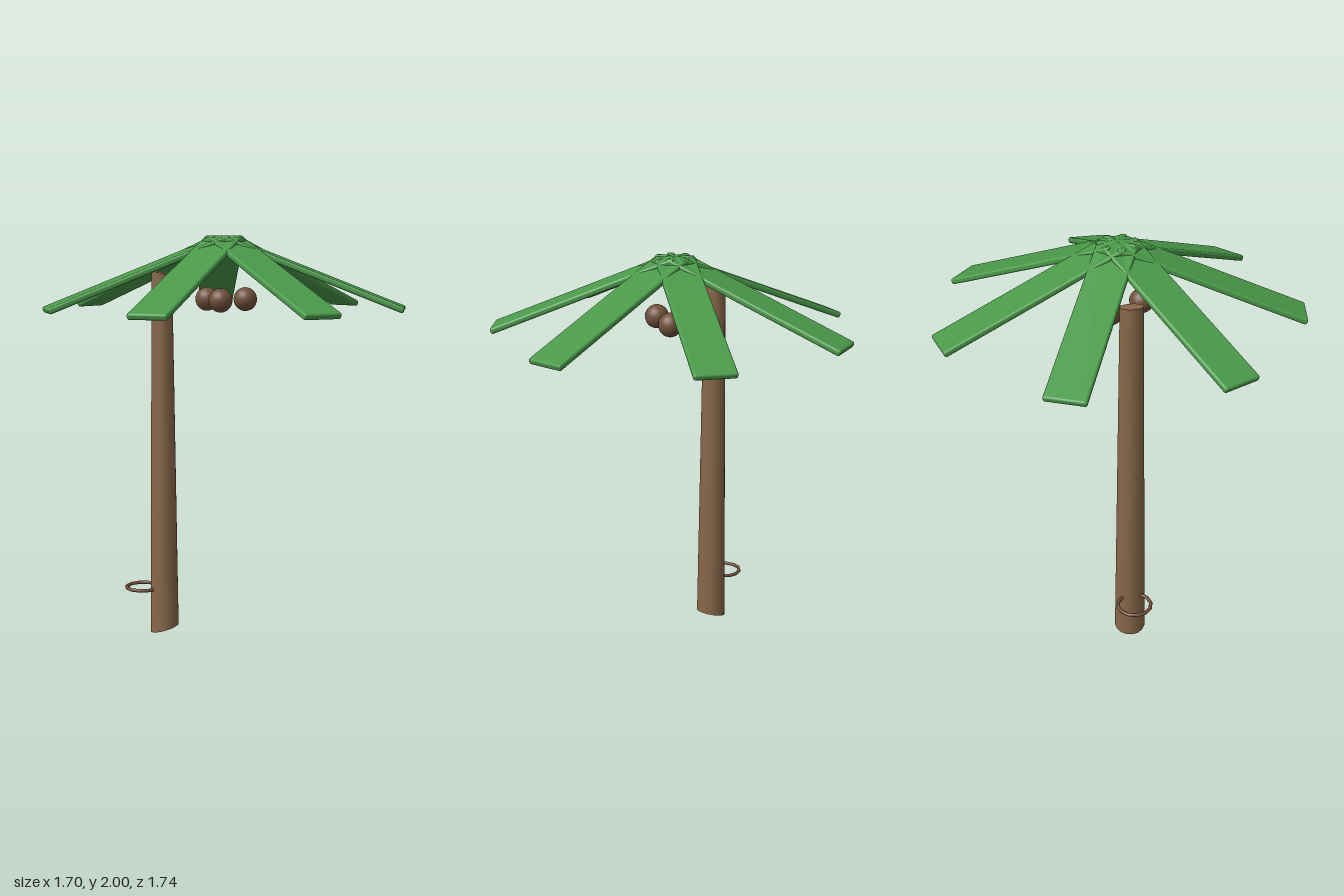
import * as THREE from 'three';
import { RoundedBoxGeometry } from 'three/addons/geometries/RoundedBoxGeometry.js';

const mat = (color) => new THREE.MeshStandardMaterial({ color });

const CROWN_X = -0.025;
const TRUNK_X = -0.335;

function part(name, geometry, material, x = 0, y = 0, z = 0) {
  const mesh = new THREE.Mesh(geometry, material);
  mesh.name = name;
  mesh.position.set(x, y, z);
  return mesh;
}

// Tapered trunk whose end faces are slanted like the ends of a bent stem
function trunkGeometry() {
  const height = 1.8;
  const geo = new THREE.CylinderGeometry(0.055, 0.077, height, 16, 6);
  const pos = geo.attributes.position;
  for (let i = 0; i < pos.count; i++) {
    const x = pos.getX(i) * 0.93;
    const y = pos.getY(i);
    const slant = THREE.MathUtils.lerp(0.27, -0.2, y / height + 0.5);
    pos.setXY(i, x, y + x * slant);
  }
  geo.computeBoundingSphere();
  return geo;
}

export function createModel() {
  const palm = new THREE.Group();
  palm.name = 'palmTree';
  const bark = mat(0x876749);
  const nut = mat(0x70503a);
  const green = mat(0x4a994a);

  palm.add(part('trunk', trunkGeometry(), bark, TRUNK_X, 0.92, 0));

  // Ring fixed to the side of the trunk
  const ring = part('trunkRing', new THREE.TorusGeometry(0.083, 0.009, 8, 12), nut, -0.447, 0.23, 0);
  ring.rotation.x = Math.PI / 2;
  palm.add(ring);

  // Seven flat fronds sloping down from the crown
  const length = 0.935;
  const leafGeo = new RoundedBoxGeometry(length, 0.03, 0.192, 3, 0.011);
  leafGeo.translate(length / 2, 0, 0);
  const crown = new THREE.Group();
  crown.name = 'crown';
  crown.position.set(CROWN_X, 1.988, 0);
  for (let i = 0; i < 7; i++) {
    const frond = new THREE.Group();
    frond.name = `frond${i + 1}`;
    frond.rotation.y = (i / 7) * Math.PI * 2;
    const leaf = part('leaf', leafGeo, green);
    leaf.rotation.z = THREE.MathUtils.degToRad(-21.3);
    frond.add(leaf);
    crown.add(frond);
  }
  palm.add(crown);

  // Three coconuts hanging in a triangle below the crown
  const nutGeo = new THREE.SphereGeometry(0.058, 20, 14);
  for (let i = 0; i < 3; i++) {
    const a = (i / 3) * Math.PI * 2;
    palm.add(part(`coconut${i + 1}`, nutGeo, nut,
      CROWN_X + Math.sin(a) * 0.11, 1.692, Math.cos(a) * 0.11));
  }
  return palm;
}
